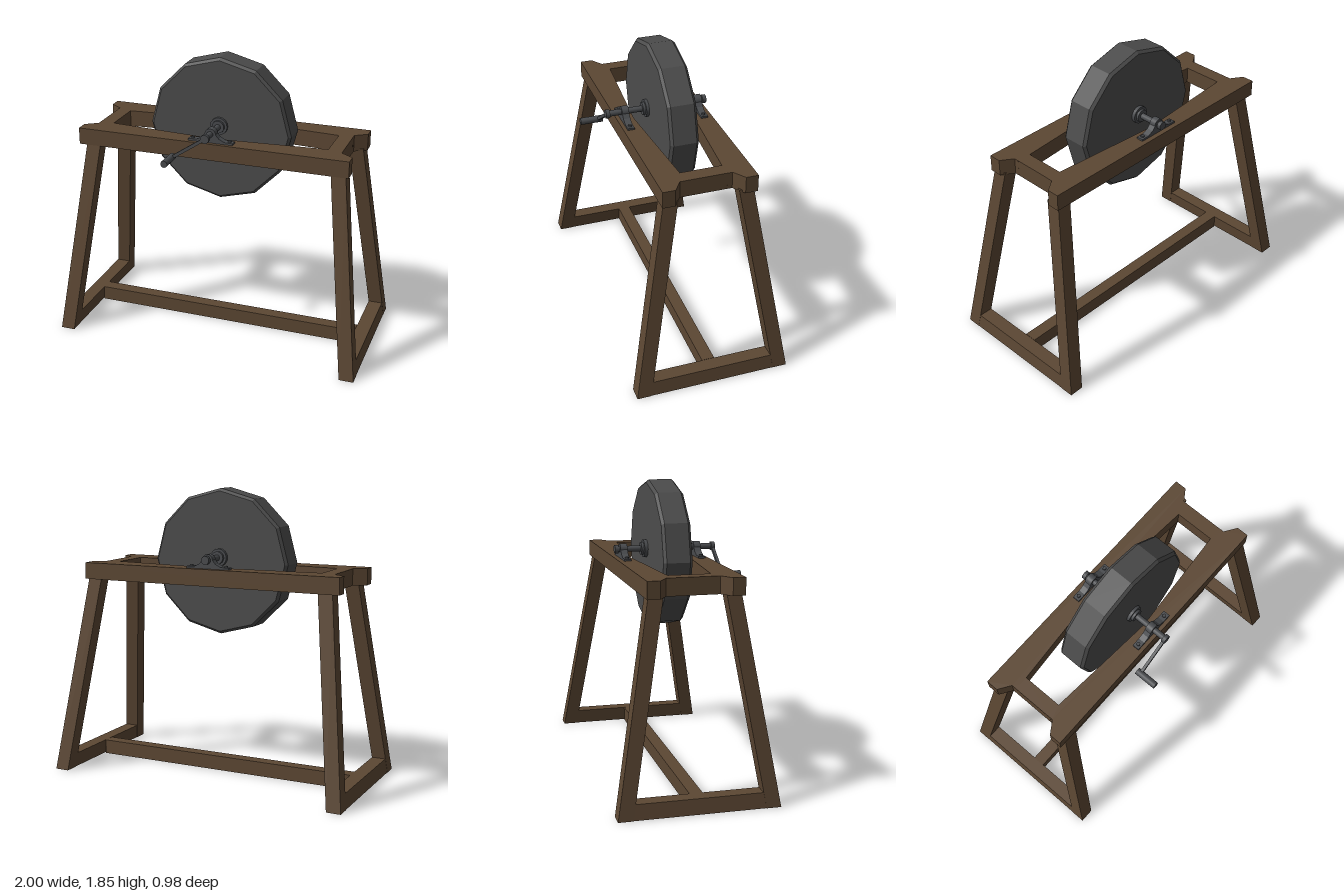
import * as THREE from 'three';

const mat = (name, color, flatShading = false) => {
  const m = new THREE.MeshStandardMaterial({ color, flatShading });
  m.name = name;
  return m;
};

export function createModel() {
  const wood = mat('dark wood', 0x5c4733, true);
  const stone = mat('grindstone grey', 0x4c4c4c, true);
  const iron = mat('iron', 0x494b4e);

  const model = new THREE.Group();
  model.name = 'grindstone';
  const add = (name, geometry, material, x = 0, y = 0, z = 0, parent = model) => {
    const mesh = new THREE.Mesh(geometry, material);
    mesh.name = name;
    mesh.position.set(x, y, z);
    parent.add(mesh);
    return mesh;
  };

  // Beam between a lower and an upper rectangle, both given by centre and shared size
  const leaningBeam = (w, d, x0, y0, z0, x1, y1, z1) => {
    const g = new THREE.BoxGeometry(w, 1, d);
    const p = g.attributes.position;
    for (let i = 0; i < p.count; i++) {
      const t = p.getY(i) + 0.5;
      p.setXYZ(i, p.getX(i) + x0 + (x1 - x0) * t, y0 + (y1 - y0) * t, p.getZ(i) + z0 + (z1 - z0) * t);
    }
    g.computeVertexNormals();
    return g;
  };

  // Four splayed legs, and a low brace between each end pair
  const footX = 0.953, topX = 0.797, topY = 1.27;
  for (const sx of [-1, 1]) {
    for (const sz of [-1, 1]) {
      add('leg', leaningBeam(0.092, 0.09, sx * footX, 0, sz * 0.445, sx * topX, topY, sz * 0.23), wood);
    }
    const lean = (footX - topX) * 0.095 / topY;
    add('endBrace', leaningBeam(0.09, 0.83, sx * footX, 0.001, 0, sx * (footX - lean), 0.095, 0), wood);
  }
  add('stretcher', new THREE.BoxGeometry(1.795, 0.094, 0.08), wood, -0.003, 0.048, -0.003);

  // Top rails: straight outside, narrowing to the middle inside, chamfered ends
  const railTop = 1.361, railHeight = 0.106;
  for (const sz of [-1, 1]) {
    const outline = [
      [-0.893, 0.289], [0.863, 0.289], [0.863, 0.212], [0.786, 0.16],
      [0.786, 0.129], [0.694, 0.129], [-0.013, 0.184], [-0.725, 0.129],
      [-0.815, 0.129], [-0.815, 0.16], [-0.893, 0.212],
    ].map(([x, z]) => new THREE.Vector2(x, z * sz));
    const g = new THREE.ExtrudeGeometry(new THREE.Shape(outline), { depth: railHeight, bevelEnabled: false });
    g.rotateX(Math.PI / 2);
    add('topRail', g, wood, 0, railTop, -0.004);
  }
  for (const x of [-0.77, 0.74]) {
    add('topCrossBeam', new THREE.BoxGeometry(0.091, railHeight, 0.29), wood, x, railTop - railHeight / 2, -0.004);
  }

  // Twelve-sided wheel with chamfered rims
  const axleX = -0.014, axleY = 1.417;
  const profile = [[0, -0.09], [0.446, -0.09], [0.4625, -0.073], [0.4625, 0.073], [0.446, 0.09], [0, 0.09]]
    .map(([r, y]) => new THREE.Vector2(r, y));
  const wheel = new THREE.LatheGeometry(profile, 12);
  wheel.rotateX(Math.PI / 2);
  add('wheel', wheel, stone, axleX, 1.388, 0.002);

  // Rods along z
  const rod = (name, r, z0, z1, x = axleX, y = axleY, sides = 16) => {
    const g = new THREE.CylinderGeometry(r, r, z1 - z0, sides);
    g.rotateX(Math.PI / 2);
    return add(name, g, iron, x, y, (z0 + z1) / 2);
  };
  rod('axle', 0.019, -0.28, 0.36);
  rod('axleCap', 0.027, -0.294, -0.27);

  // Hub flanges and pillow bearings on both sides
  for (const s of [-1, 1]) {
    const span = (a, b) => (s > 0 ? [a, b] : [-b, -a]);
    rod('hubFlange', 0.056, ...span(0.08, 0.11));
    rod('hubCollar', 0.04, ...span(0.1, 0.126));

    const bearing = new THREE.Shape();
    bearing.moveTo(-0.145, -0.056);
    bearing.lineTo(0.145, -0.056);
    bearing.lineTo(0.145, -0.044);
    bearing.lineTo(0.09, -0.042);
    bearing.lineTo(0.055, -0.024);
    bearing.lineTo(0.035, 0);
    bearing.absarc(0, 0, 0.035, 0, Math.PI, false);
    bearing.lineTo(-0.055, -0.024);
    bearing.lineTo(-0.09, -0.042);
    bearing.lineTo(-0.145, -0.044);
    const g = new THREE.ExtrudeGeometry(bearing, { depth: 0.044, bevelEnabled: false, curveSegments: 10 });
    add('bearing', g, iron, axleX, axleY, s * 0.239 - 0.022);
    for (const sx of [-1, 1]) {
      add('bearingBolt', new THREE.CylinderGeometry(0.012, 0.012, 0.014, 6), iron,
        axleX + sx * 0.12, axleY - 0.04, s * 0.239);
    }
  }

  // Crank arm with rounded ends, and its grip
  const gripX = -0.238, gripY = 1.267;
  const dx = gripX - axleX, dy = gripY - axleY;
  const arm = add('crankArm', new THREE.BoxGeometry(Math.hypot(dx, dy), 0.02, 0.018), iron,
    (axleX + gripX) / 2, (axleY + gripY) / 2, 0.347);
  arm.rotation.z = Math.atan2(dy, dx);
  rod('crankBoss', 0.028, 0.336, 0.36);
  rod('crankGrip', 0.022, 0.322, 0.466, gripX, gripY);

  return model;
}
